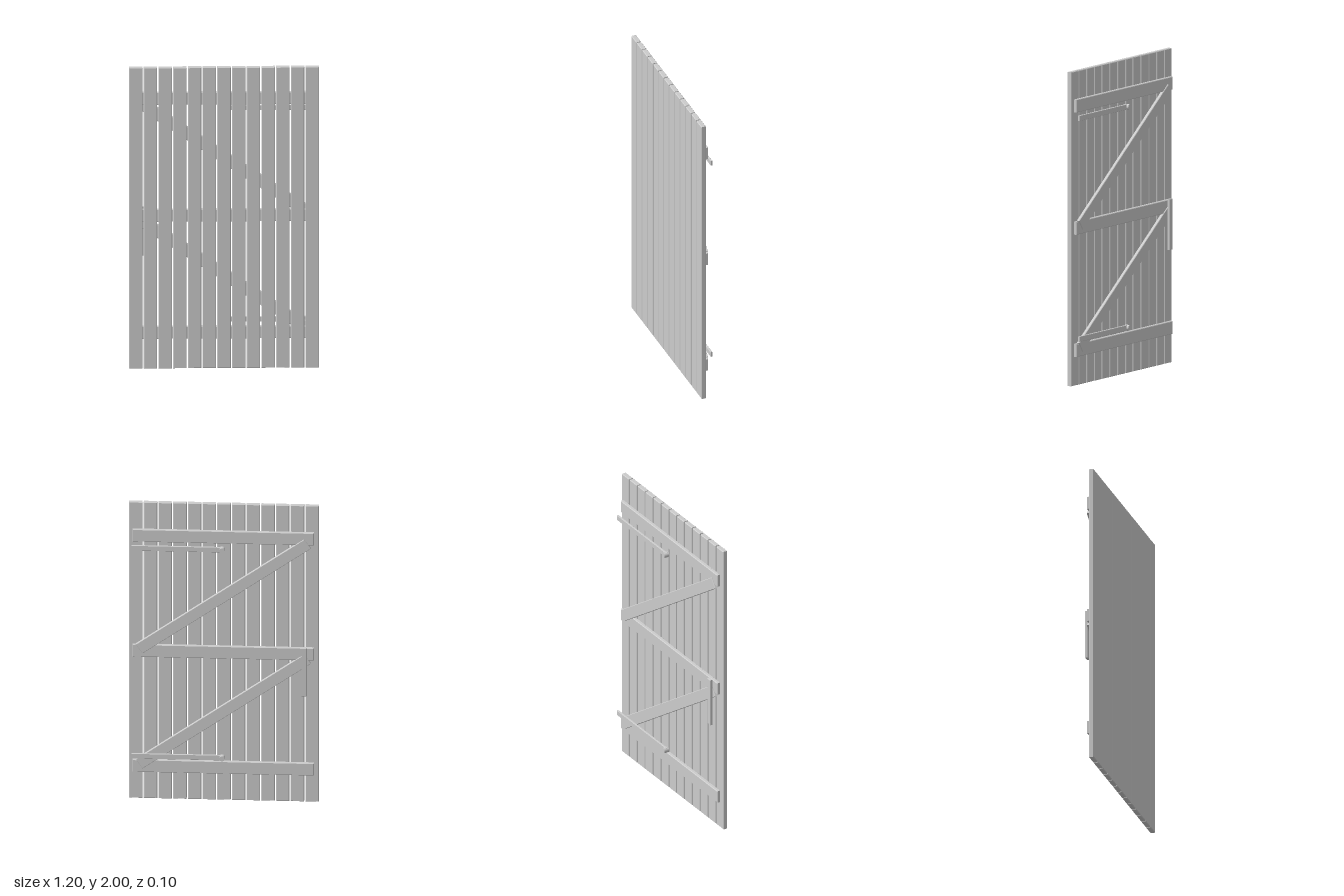
import * as THREE from 'three';

// Box with chamfered edges, centred on the origin
function chamferBox(w, h, d, c) {
  const x = w / 2 - c, y = h / 2 - c;
  const shape = new THREE.Shape();
  shape.moveTo(-x, -y).lineTo(x, -y).lineTo(x, y).lineTo(-x, y).closePath();
  const geo = new THREE.ExtrudeGeometry(shape, {
    depth: d - 2 * c, bevelEnabled: true, bevelThickness: c, bevelSize: c, bevelSegments: 1,
  });
  return geo.translate(0, 0, -d / 2 + c);
}

export function createModel() {
  const door = new THREE.Group();
  door.name = 'plankDoor';
  const grey = new THREE.MeshStandardMaterial({ color: 0xcccccc });
  grey.name = 'paleGrey';

  const add = (name, geo, x, y, z, tilt = 0) => {
    const mesh = new THREE.Mesh(geo, grey);
    mesh.name = name;
    mesh.position.set(x, y, z);
    mesh.rotation.z = tilt;
    door.add(mesh);
  };

  // Vertical planks with narrow gaps
  const plank = chamferBox(0.085, 2, 0.032, 0.004);
  for (let i = 0; i < 13; i++) add('plank', plank, (i - 6) * 0.0926, 1, 0.031);

  // Three horizontal rails on the back
  const rail = chamferBox(1.142, 0.083, 0.024, 0.004);
  for (const y of [0.227, 1.005, 1.783]) add('rail', rail, 0.003, y, 0.002);

  // Diagonal braces, lapping over the rails
  const brace = chamferBox(1.29, 0.075, 0.022, 0.003);
  for (const y of [0.608, 1.386]) add('brace', brace, 0.002, y, -0.005, -0.604);

  // Strap hinges, each with a round pin at its inner end
  const strap = chamferBox(0.58, 0.034, 0.013, 0.002);
  const pin = new THREE.CylinderGeometry(0.0175, 0.0175, 0.034, 20).rotateX(Math.PI / 2);
  for (const y of [0.302, 1.708]) {
    add('hingeStrap', strap, 0.29, y, -0.0285);
    add('hingePin', pin, 0.008, y, -0.032);
  }

  // Upright pull handle
  add('handle', chamferBox(0.034, 0.325, 0.02, 0.003), -0.508, 0.893, -0.026);

  return door;
}
